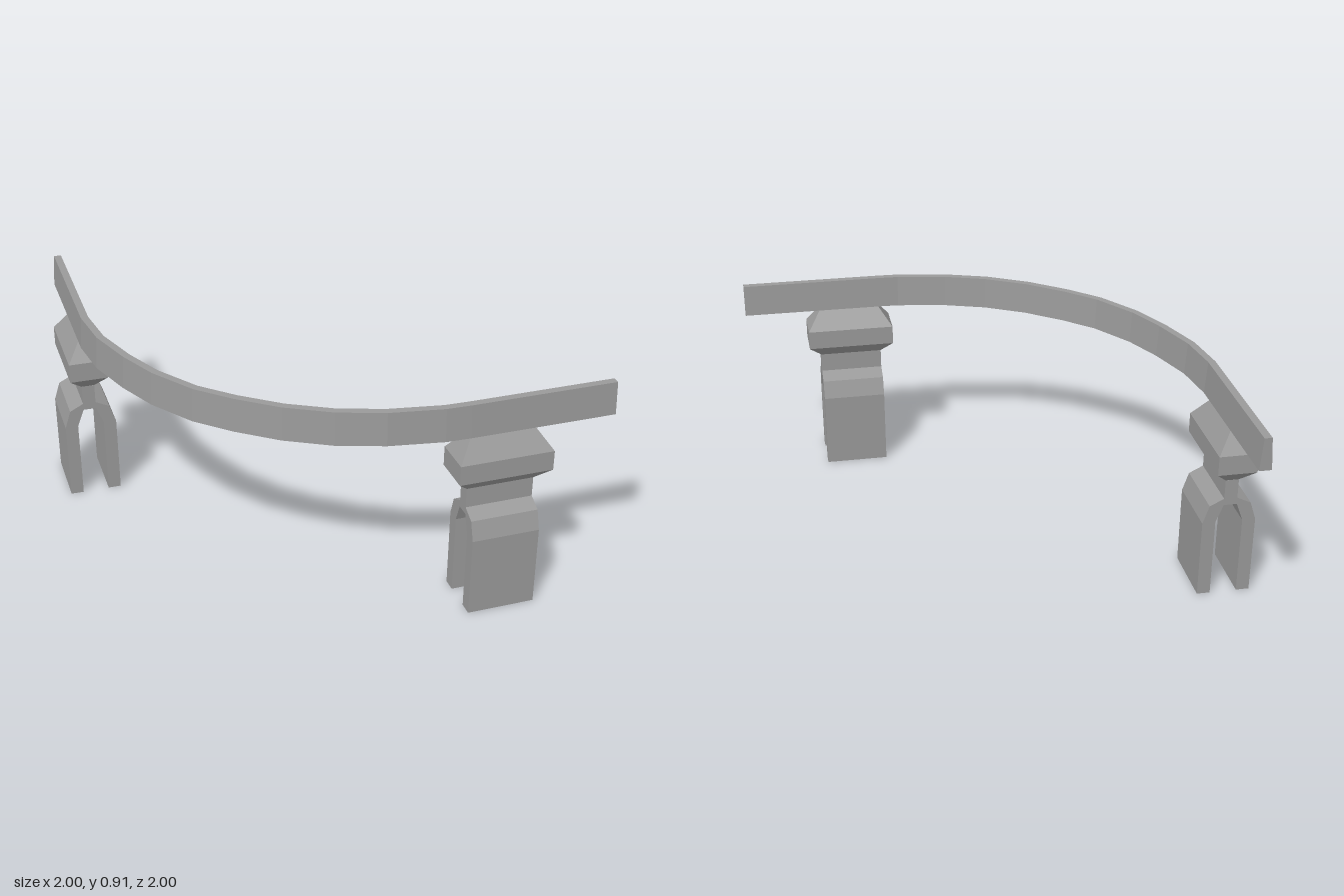
import * as THREE from 'three';

const material = new THREE.MeshStandardMaterial({ color: 0x999999, flatShading: true, side: THREE.DoubleSide });

function addMesh(parent, name, geometry) {
  const mesh = new THREE.Mesh(geometry, material);
  mesh.name = name;
  parent.add(mesh);
  return mesh;
}

function facetedGeometry(positions) {
  const geometry = new THREE.BufferGeometry();
  geometry.setAttribute('position', new THREE.Float32BufferAttribute(positions, 3));
  geometry.computeVertexNormals();
  return geometry;
}

// Solid skin over four-cornered rings (counter-clockwise about the sweep direction), capped at both ends
function loft(rings) {
  const positions = [];
  const quad = (a, b, c, d) => [a, b, c, a, c, d].forEach((p) => positions.push(p.x, p.y, p.z));
  for (let i = 0; i < rings.length - 1; i++) {
    for (let j = 0; j < 4; j++) {
      const k = (j + 1) % 4;
      quad(rings[i][j], rings[i][k], rings[i + 1][k], rings[i + 1][j]);
    }
  }
  const [a, b, c, d] = rings[0];
  quad(d, c, b, a);
  quad(...rings[rings.length - 1]);
  return facetedGeometry(positions);
}

// Curved rail: tapered section swept along a plan path with mitred corners
function railGeometry() {
  const path = [
    [-0.887, -1], [-0.887, -0.31], [-0.859, -0.11], [-0.79, 0.093], [-0.712, 0.262], [-0.591, 0.439],
    [-0.462, 0.562], [-0.307, 0.682], [-0.129, 0.78], [0.057, 0.843], [0.279, 0.882], [0.38, 0.885], [1, 0.885],
  ].map(([x, z]) => new THREE.Vector3(x, 0, z));
  const bottom = 0.768, top = 0.908, bottomHalf = 0.026, topHalf = 0.016;
  const direction = (i) => path[i + 1].clone().sub(path[i]).normalize();
  const last = path.length - 1;
  const rings = path.map((p, i) => {
    const before = direction(Math.max(i - 1, 0));
    const after = direction(Math.min(i, last - 1));
    const t = before.clone().add(after).normalize();
    const mitre = 1 / t.dot(after);
    const side = new THREE.Vector3(t.z, 0, -t.x).multiplyScalar(mitre);
    const corner = (offset, y) => p.clone().addScaledVector(side, offset).setY(y);
    return [corner(-bottomHalf, bottom), corner(bottomHalf, bottom), corner(topHalf, top), corner(-topHalf, top)];
  });
  return loft(rings);
}

// Bracket block: rectangles [y, half length, half depth] stacked upwards
function blockGeometry() {
  const levels = [
    [0.541, 0.142, 0.028],
    [0.598, 0.198, 0.083],
    [0.683, 0.198, 0.083],
    [0.768, 0.139, 0.024],
  ];
  return loft(levels.map(([y, x, z]) =>
    [[x, z], [x, -z], [-x, -z], [-x, z]].map(([px, pz]) => new THREE.Vector3(px, y, pz))));
}

// Forked clamp: two-legged profile extruded along the rail, the hollow legs open underneath
function forkGeometry() {
  const half = [
    [0.028, 0.541], [0.028, 0.455], [0.088, 0.425], [0.114, 0.345],
    [0.114, 0], [0.058, 0], [0.058, 0.345], [0.028, 0.425],
  ];
  const mirrored = half.map(([x, y]) => [-x, y]).reverse();
  const shape = new THREE.Shape([...half, ...mirrored].map(([x, y]) => new THREE.Vector2(x, y)));
  const length = 0.286;
  const solid = new THREE.ExtrudeGeometry(shape, { depth: length, bevelEnabled: false });
  solid.translate(0, 0, -length / 2);
  solid.rotateY(Math.PI / 2);

  // Leave out the triangles that lie on the ground
  const source = solid.attributes.position.array;
  const positions = [];
  for (let i = 0; i < source.length; i += 9) {
    const grounded = Math.max(source[i + 1], source[i + 4], source[i + 7]) < 0.001;
    if (!grounded) positions.push(...source.slice(i, i + 9));
  }
  return facetedGeometry(positions);
}

export function createModel() {
  const model = new THREE.Group();
  model.name = 'curvedRail';
  addMesh(model, 'rail', railGeometry());

  // One support under each straight end of the rail
  const block = blockGeometry();
  const fork = forkGeometry();
  const supports = [
    ['frontSupport', 0.516, 0.886, 0],
    ['backSupport', -0.886, -0.522, Math.PI / 2],
  ];
  for (const [name, x, z, turn] of supports) {
    const support = new THREE.Group();
    support.name = name;
    addMesh(support, 'bracketBlock', block);
    addMesh(support, 'forkedClamp', fork);
    support.position.set(x, 0, z);
    support.rotation.y = turn;
    model.add(support);
  }
  return model;
}
